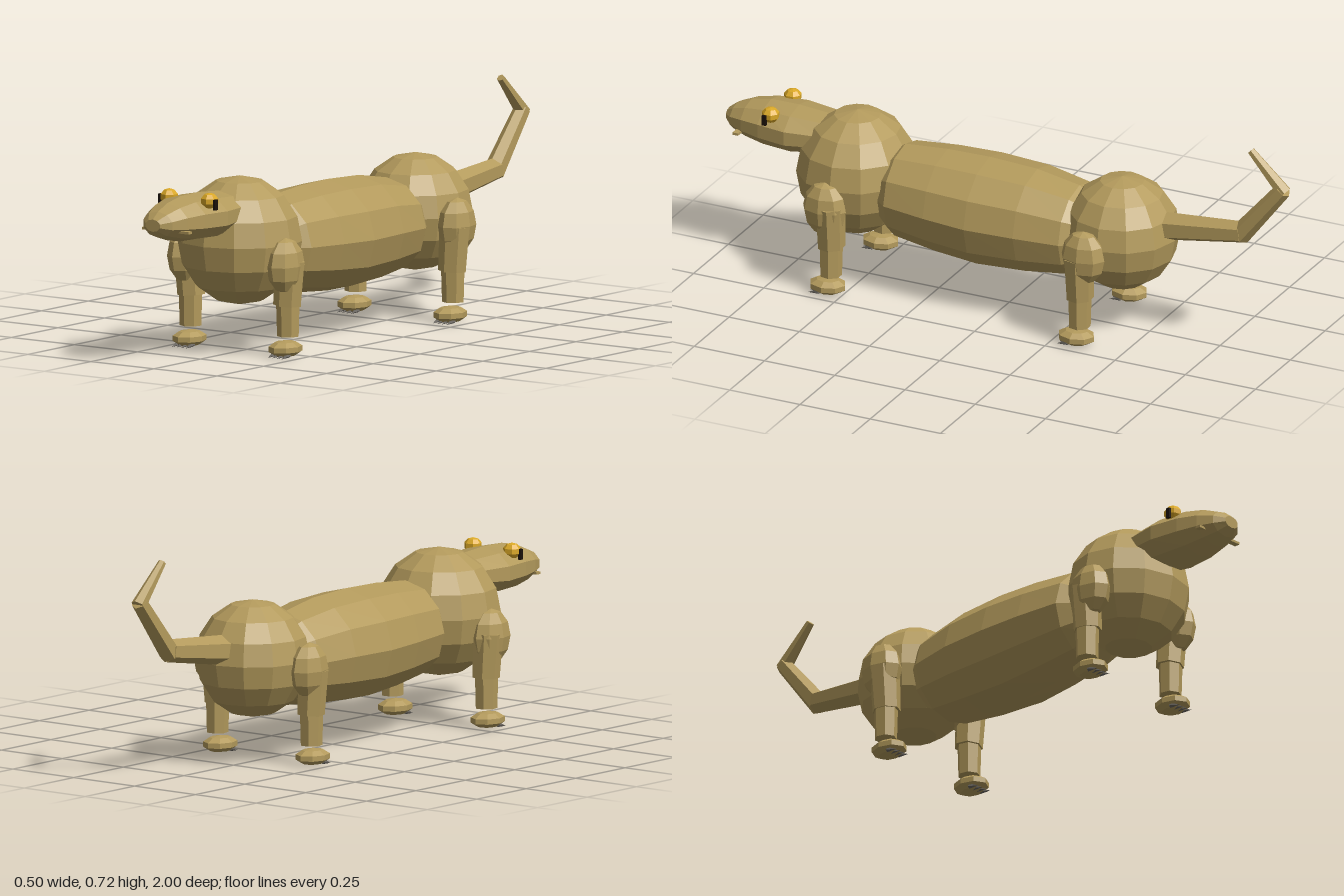
import * as THREE from 'three';

const mat = (name, color) => {
  const m = new THREE.MeshStandardMaterial({ color, flatShading: true });
  m.name = name;
  return m;
};

// Closed tube along z from cross-sections [z, centreY, radiusX, radiusY], z ascending
function loft(sections, sides) {
  const pos = [], idx = [];
  for (const [z, cy, rx, ry] of sections) {
    for (let i = 0; i < sides; i++) {
      const a = (i / sides) * Math.PI * 2 + Math.PI / 2;
      pos.push(Math.cos(a) * rx, cy + Math.sin(a) * ry, z);
    }
  }
  const last = sections.length - 1;
  for (let s = 0; s < last; s++) {
    for (let i = 0; i < sides; i++) {
      const j = (i + 1) % sides;
      const a = s * sides + i, b = s * sides + j;
      idx.push(a, b, b + sides, a, b + sides, a + sides);
    }
  }
  for (let i = 1; i < sides - 1; i++) {
    idx.push(0, i + 1, i);
    idx.push(last * sides, last * sides + i, last * sides + i + 1);
  }
  const g = new THREE.BufferGeometry();
  g.setAttribute('position', new THREE.Float32BufferAttribute(pos, 3));
  g.setIndex(idx);
  g.computeVertexNormals();
  return g;
}

export function createModel() {
  const model = new THREE.Group();
  model.name = 'lizard';
  const skin = mat('skin', 0xb39a5c);
  const gold = mat('eyeGold', 0xdaa826);
  const black = mat('pupilBlack', 0x1a1008);
  const grey = mat('clawGrey', 0x6a6660);

  const add = (parent, name, geo, material, x = 0, y = 0, z = 0) => {
    const m = new THREE.Mesh(geo, material);
    m.name = name;
    m.position.set(x, y, z);
    parent.add(m);
    return m;
  };
  const ball = (rx, ry, rz, w = 10, h = 8) => new THREE.SphereGeometry(1, w, h).scale(rx, ry, rz);

  // Tapered prism between two points
  const limb = (parent, name, a, b, ra, rb, sides = 6) => {
    const from = new THREE.Vector3(...a), dir = new THREE.Vector3(...b).sub(from);
    const m = add(parent, name, new THREE.CylinderGeometry(rb, ra, dir.length(), sides), skin);
    m.position.copy(from).addScaledVector(dir, 0.5);
    m.quaternion.setFromUnitVectors(new THREE.Vector3(0, 1, 0), dir.normalize());
    return m;
  };

  // Torso
  add(model, 'chest', ball(0.203, 0.208, 0.195, 12), skin, 0, 0.368, 0.54);
  add(model, 'hips', ball(0.185, 0.19, 0.187, 12), skin, 0, 0.343, -0.402);
  add(model, 'belly', loft([
    [-0.33, 0.32, 0.1, 0.1],
    [-0.25, 0.32, 0.155, 0.15],
    [-0.1, 0.325, 0.18, 0.172],
    [0.07, 0.325, 0.19, 0.18],
    [0.22, 0.33, 0.18, 0.172],
    [0.37, 0.335, 0.16, 0.155],
    [0.44, 0.335, 0.1, 0.1],
  ], 12), skin);

  // Head
  const head = new THREE.Group();
  head.name = 'head';
  model.add(head);
  add(head, 'skull', loft([
    [0.64, 0.475, 0.1, 0.064],
    [0.75, 0.473, 0.12, 0.075],
    [0.85, 0.474, 0.105, 0.073],
    [0.92, 0.473, 0.085, 0.06],
    [0.97, 0.47, 0.06, 0.042],
    [0.998, 0.47, 0.03, 0.02],
  ], 10), skin, -0.006);

  for (const side of [-1, 1]) {
    add(head, 'eye', ball(0.03, 0.026, 0.03, 7, 5), gold, side * 0.08, 0.535, 0.81);
    add(head, 'pupil', new THREE.BoxGeometry(0.009, 0.034, 0.014), black, side * 0.109, 0.525, 0.818);
    add(head, 'nostril', new THREE.BoxGeometry(0.04, 0.008, 0.02), skin, side * 0.072, 0.447, 0.93);
  }

  // Tail
  const tail = new THREE.Group();
  tail.name = 'tail';
  model.add(tail);
  limb(tail, 'tailBase', [0, 0.388, -0.54], [0, 0.424, -0.83], 0.049, 0.037);
  limb(tail, 'tailMiddle', [0, 0.412, -0.82], [0, 0.6, -0.975], 0.035, 0.027);
  limb(tail, 'tailTip', [0, 0.59, -0.98], [0, 0.715, -0.86], 0.025, 0.013);

  // Legs
  for (const [label, z, shoulderZ, shoulderY] of [['front', 0.54, 0.56, 0.305], ['hind', -0.345, -0.36, 0.32]]) {
    for (const side of [-1, 1]) {
      const leg = new THREE.Group();
      leg.name = label + 'Leg';
      model.add(leg);
      add(leg, 'shoulder', ball(0.052, 0.09, 0.076, 8, 6), skin, side * 0.197, shoulderY, shoulderZ);
      limb(leg, 'upperLeg', [side * 0.19, 0.175, z], [side * 0.2, 0.32, z], 0.046, 0.05, 7);
      limb(leg, 'shin', [side * 0.193, 0.075, z], [side * 0.193, 0.18, z], 0.036, 0.039, 7);
      add(leg, 'foot', ball(0.052, 0.027, 0.065, 8, 5), skin, side * 0.19, 0.036, z + 0.012);
      // Claws
      for (let i = 0; i < 4; i++) {
        const claw = add(leg, 'claw', new THREE.ConeGeometry(0.009, 0.04, 5), grey,
          side * 0.19 + (i - 1.5) * 0.018, 0.015, z + 0.05);
        claw.rotation.x = Math.PI / 2 + 0.25;
      }
    }
  }
  return model;
}
